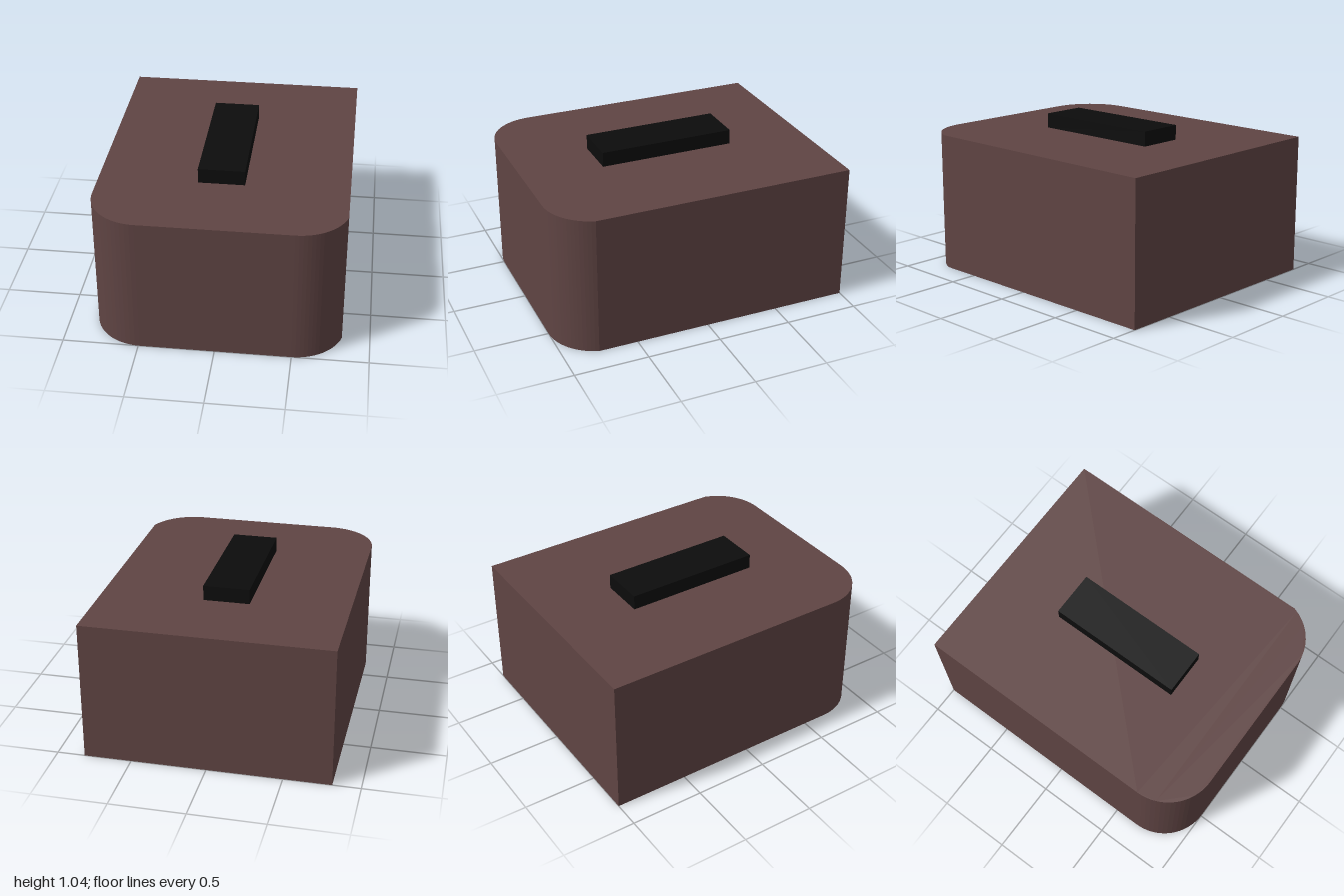
import * as THREE from 'three';

export function createModel() {
  const model = new THREE.Group();
  const halfWidth = 0.816, height = 0.943, radius = 0.33, cornerX = 0.49;

  // Body outline seen from above (shape y = -z): square back, rounded front.
  // The corner on the +x side stops short of a full quarter turn.
  const cut = Math.acos((halfWidth - 0.5) / radius);
  const outline = new THREE.Shape();
  outline.moveTo(halfWidth, 1);
  outline.lineTo(-halfWidth, 1);
  outline.absarc(-cornerX, radius - 1, radius, Math.PI, Math.PI * 1.5, false);
  outline.absarc(0.5, radius - 1, radius, Math.PI * 1.5, Math.PI * 2 - cut, false);
  outline.closePath();

  const bodyGeometry = new THREE.ExtrudeGeometry(outline, {
    depth: height, bevelEnabled: false, curveSegments: 8,
  });
  bodyGeometry.rotateX(-Math.PI / 2);
  const body = new THREE.Mesh(bodyGeometry, new THREE.MeshStandardMaterial({ color: 0x5f4443 }));
  body.name = 'body';
  model.add(body);

  // Raised bar on top, slightly off centre
  const bar = new THREE.Mesh(
    new THREE.BoxGeometry(0.306, 0.1, 0.92),
    new THREE.MeshStandardMaterial({ color: 0x0c0c0c }),
  );
  bar.name = 'topBar';
  bar.position.set(-0.015, height + 0.05, 0);
  model.add(bar);

  return model;
}
